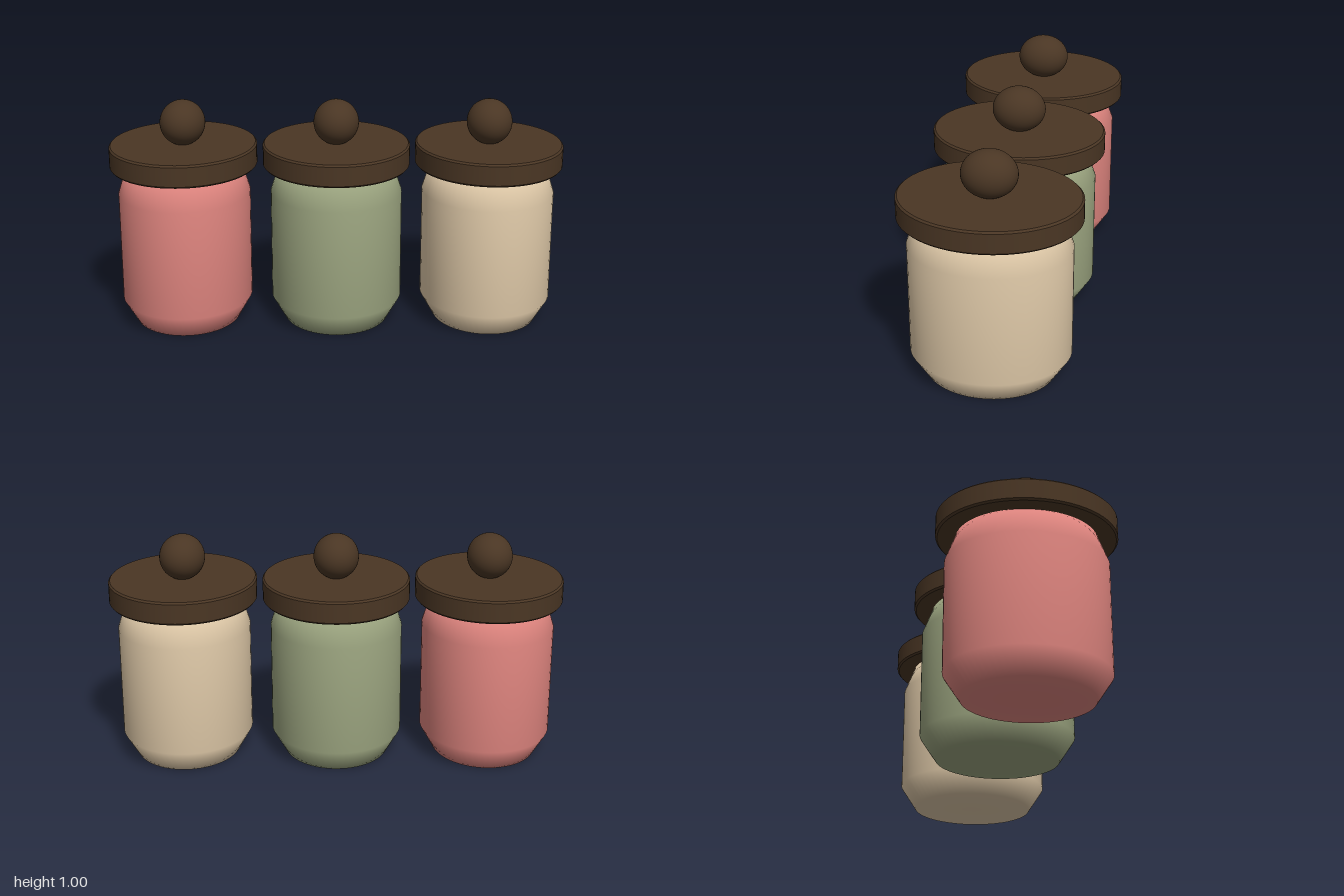
import * as THREE from 'three';

const material = (name, color) => {
  const m = new THREE.MeshStandardMaterial({ color });
  m.name = name;
  return m;
};

const lathe = (points, segments = 64) =>
  new THREE.LatheGeometry(points.map(([r, y]) => new THREE.Vector2(r, y)), segments);

export function createModel() {
  const model = new THREE.Group();
  model.name = 'canisterSet';

  const wood = material('dark wood', 0x4a3624);
  const glazes = [
    ['pinkCanister', material('pink glaze', 0xdf857f)],
    ['greenCanister', material('green glaze', 0x9ca580)],
    ['creamCanister', material('cream glaze', 0xdfc9a8)],
  ];

  // Jar with chamfered foot and tapered shoulder, closed under the lid
  const jarGeometry = lathe([
    [0, 0], [0.272, 0], [0.34, 0.105], [0.34, 0.59], [0.293, 0.715], [0, 0.715],
  ]);

  // Flat disc lid with a small bevel; repeated points keep its edges crisp
  const lidGeometry = lathe([
    [0, 0.71], [0.37, 0.71], [0.37, 0.71], [0.378, 0.718], [0.378, 0.718],
    [0.378, 0.802], [0.378, 0.802], [0.37, 0.81], [0.37, 0.81], [0, 0.81],
  ]);

  // Ball knob, slightly wider than tall
  const knobGeometry = new THREE.SphereGeometry(1, 48, 32);
  knobGeometry.scale(0.116, 0.1, 0.116);
  knobGeometry.translate(0, 0.9, 0);

  glazes.forEach(([name, glaze], i) => {
    const canister = new THREE.Group();
    canister.name = name;
    const parts = [['jar', jarGeometry, glaze], ['lid', lidGeometry, wood], ['knob', knobGeometry, wood]];
    for (const [partName, geometry, mat] of parts) {
      const mesh = new THREE.Mesh(geometry, mat);
      mesh.name = partName;
      canister.add(mesh);
    }
    // Each canister is oval, narrower across x
    canister.scale.x = 0.325 / 0.378;
    canister.position.x = (i - 1) * 0.675;
    model.add(canister);
  });

  return model;
}
